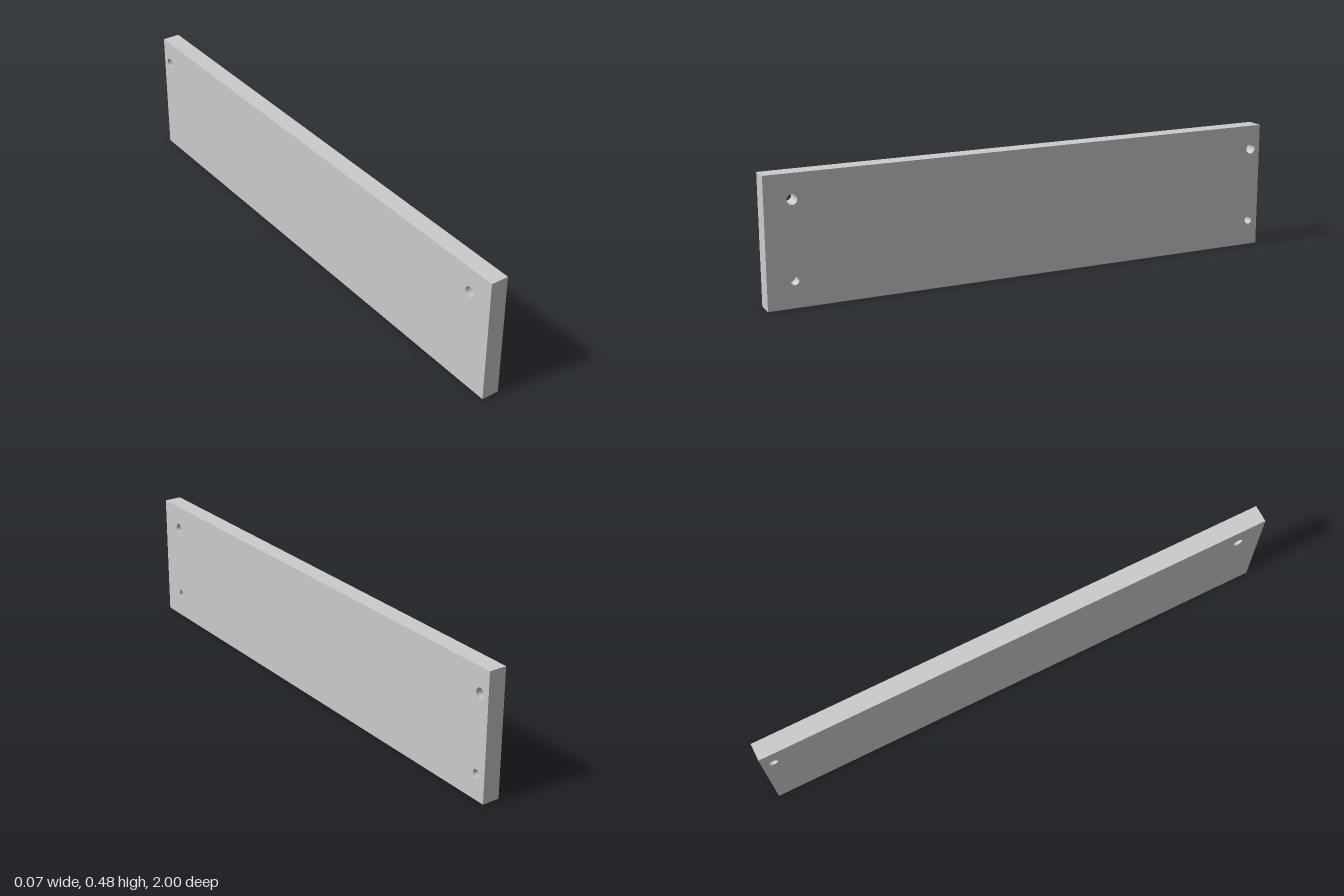
import * as THREE from 'three';

const T = 0.067, H = 0.477, L = 2;
const SEG = 32;
const material = new THREE.MeshStandardMaterial({ color: 0xcccccc });
const boreMaterial = new THREE.MeshStandardMaterial({ color: 0xcccccc, side: THREE.BackSide });

// One face of the board, facing local +z, with drilled holes { x, y, r, depth, floor, open }
function panel(name, w, h, holes = []) {
  const group = new THREE.Group();
  group.name = name;
  const shape = new THREE.Shape([
    new THREE.Vector2(-w / 2, -h / 2), new THREE.Vector2(w / 2, -h / 2),
    new THREE.Vector2(w / 2, h / 2), new THREE.Vector2(-w / 2, h / 2),
  ]);
  for (const { x, y, r, depth, floor } of holes) {
    shape.holes.push(new THREE.Path().absarc(x, y, r, 0, Math.PI * 2, true));
    if (!depth) continue;
    // Bore wall, seen from inside
    const wall = new THREE.Mesh(
      new THREE.CylinderGeometry(r, r, depth, SEG, 1, true).rotateX(Math.PI / 2), boreMaterial);
    wall.name = floor ? 'blindHoleWall' : 'throughHoleWall';
    wall.position.set(x, y, -depth / 2);
    group.add(wall);
    if (floor) {
      const disc = new THREE.Mesh(new THREE.CircleGeometry(r, SEG), material);
      disc.name = 'blindHoleFloor';
      disc.position.set(x, y, -depth);
      group.add(disc);
    }
  }
  const face = new THREE.Mesh(new THREE.ShapeGeometry(shape, SEG / 2), material);
  face.name = name + 'Surface';
  group.add(face);
  return group;
}

export function createModel() {
  const board = new THREE.Group();
  board.name = 'drilledBoard';
  const add = (part, pos, rot) => {
    part.position.set(...pos);
    part.rotation.set(...rot);
    board.add(part);
  };
  const q = Math.PI / 2;
  const holeZ = [0.9, -0.96];
  const upperY = 0.385 - H / 2, lowerY = 0.097 - H / 2;

  // Broad faces: upper holes go right through, lower ones are blind on the left face
  const leftHoles = holeZ.flatMap((z) => [
    { x: -z, y: upperY, r: 0.019, depth: T },
    { x: -z, y: lowerY, r: 0.015, depth: 0.045, floor: true },
  ]);
  const rightHoles = holeZ.map((z) => ({ x: z, y: upperY, r: 0.019 }));
  add(panel('leftFace', L, H, leftHoles), [T / 2, H / 2, 0], [0, q, 0]);
  add(panel('rightFace', L, H, rightHoles), [-T / 2, H / 2, 0], [0, -q, 0]);

  // Edges: two blind dowel holes underneath
  const dowelHoles = [0.72, -0.72].map((z) => ({ x: 0, y: z, r: 0.0135, depth: 0.09, floor: true }));
  add(panel('bottomEdge', T, L, dowelHoles), [0, 0, 0], [q, 0, 0]);
  add(panel('topEdge', T, L), [0, H, 0], [-q, 0, 0]);
  add(panel('frontEnd', T, H), [0, H / 2, L / 2], [0, 0, 0]);
  add(panel('backEnd', T, H), [0, H / 2, -L / 2], [0, Math.PI, 0]);

  return board;
}
